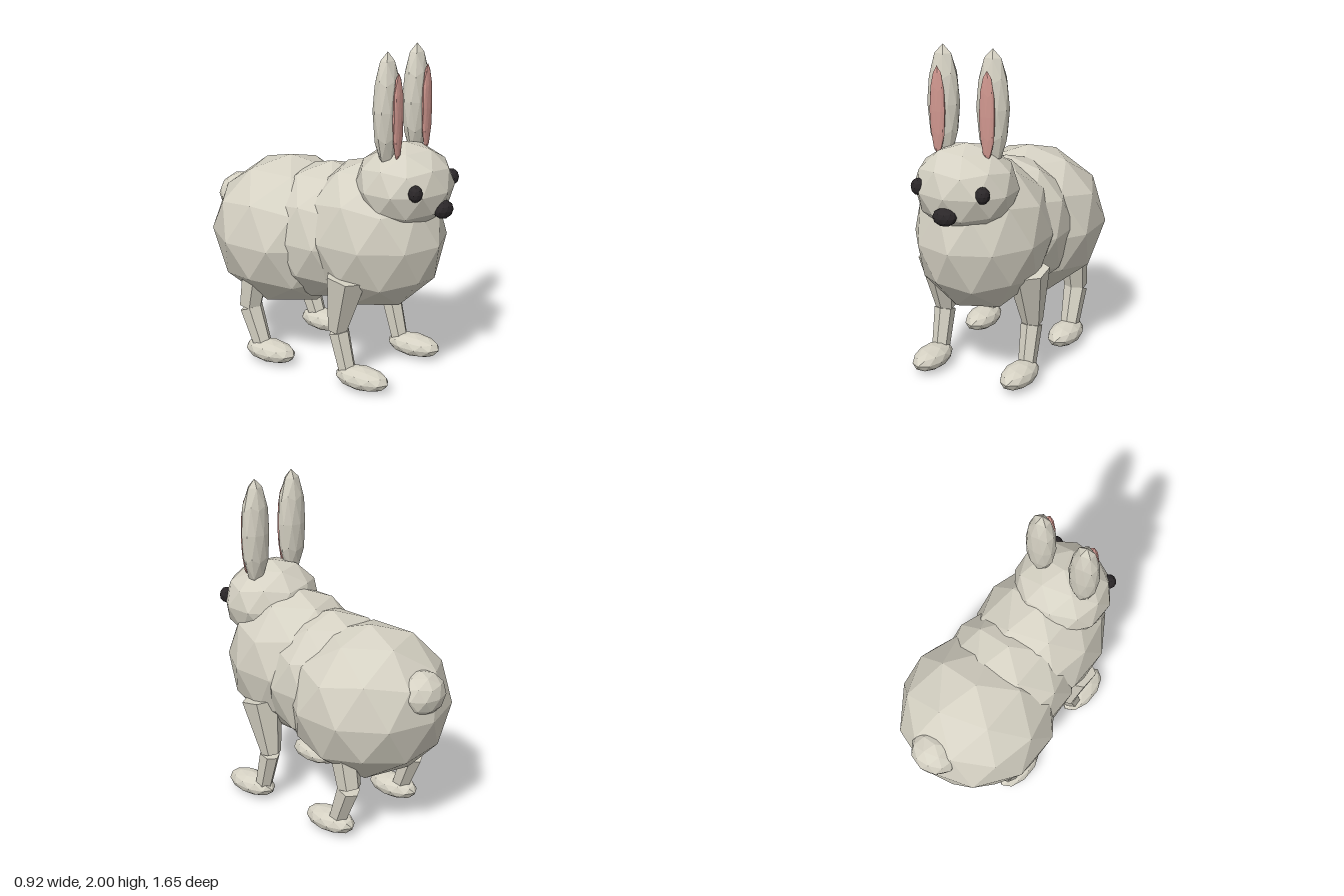
import * as THREE from 'three';

const material = (name, color) => {
  const m = new THREE.MeshStandardMaterial({ color });
  m.name = name;
  return m;
};

// Faceted copy of a geometry, with one normal per face
function faceted(geometry) {
  const g = geometry.index ? geometry.toNonIndexed() : geometry;
  g.computeVertexNormals();
  return g;
}

export function createModel() {
  const model = new THREE.Group();
  model.name = 'rabbit';

  const fur = material('fur', 0xd5d1c3);
  const pink = material('innerEarPink', 0xd0978f);
  const black = material('eyeAndNoseBlack', 0x2b2729);

  // Low-poly ball with a vertex at each pole and a ten-sided equator
  const ball = faceted(
    new THREE.IcosahedronGeometry(1, 1)
      .rotateX(-Math.atan((1 + Math.sqrt(5)) / 2))
      .rotateY(Math.PI / 2)
  );

  function blob(name, mat, position, radii) {
    const mesh = new THREE.Mesh(ball, mat);
    mesh.name = name;
    mesh.position.set(...position);
    mesh.scale.set(...radii);
    model.add(mesh);
  }

  // Tapered six-sided limb segment between two points
  function limb(name, top, bottom, rTop, rBottom) {
    const a = new THREE.Vector3(...top);
    const b = new THREE.Vector3(...bottom);
    const axis = a.clone().sub(b);
    const g = faceted(new THREE.CylinderGeometry(rTop, rBottom, axis.length(), 6));
    const mesh = new THREE.Mesh(g, fur);
    mesh.name = name;
    mesh.position.copy(a).add(b).multiplyScalar(0.5);
    mesh.quaternion.setFromUnitVectors(new THREE.Vector3(0, 1, 0), axis.normalize());
    model.add(mesh);
  }

  // Body, head and tail
  blob('haunches', fur, [0, 0.78, -0.3], [0.485, 0.47, 0.49]);
  blob('belly', fur, [0, 0.83, 0], [0.41, 0.43, 0.42]);
  blob('chest', fur, [0, 0.87, 0.3], [0.4, 0.46, 0.45]);
  blob('head', fur, [0, 1.205, 0.51], [0.305, 0.255, 0.285]);
  blob('tail', fur, [0, 0.935, -0.687], [0.155, 0.135, 0.14]);
  blob('nose', black, [0, 1.102, 0.772], [0.072, 0.053, 0.052]);

  for (const [side, s] of [['left', 1], ['right', -1]]) {
    // Face and ears
    blob(side + 'Eye', black, [s * 0.2, 1.233, 0.706], [0.043, 0.05, 0.041]);
    blob(side + 'Ear', fur, [s * 0.154, 1.668, 0.483], [0.097, 0.332, 0.073]);
    blob(side + 'InnerEar', pink, [s * 0.154, 1.635, 0.556], [0.049, 0.255, 0.02]);

    // Front leg
    const x = s * 0.29;
    limb(side + 'FrontUpperLeg', [x, 0.685, 0.312], [x, 0.335, 0.245], 0.128, 0.062);
    limb(side + 'FrontLowerLeg', [x, 0.325, 0.257], [x, 0.07, 0.322], 0.064, 0.053);
    blob(side + 'FrontFoot', fur, [x, 0.069, 0.42], [0.097, 0.069, 0.18]);

    // Hind leg
    limb(side + 'HindUpperLeg', [x, 0.62, -0.352], [x, 0.338, -0.405], 0.09, 0.072);
    limb(side + 'HindLowerLeg', [x, 0.325, -0.4], [x, 0.07, -0.305], 0.073, 0.056);
    blob(side + 'HindFoot', fur, [x, 0.069, -0.255], [0.097, 0.069, 0.178]);
  }
  return model;
}
